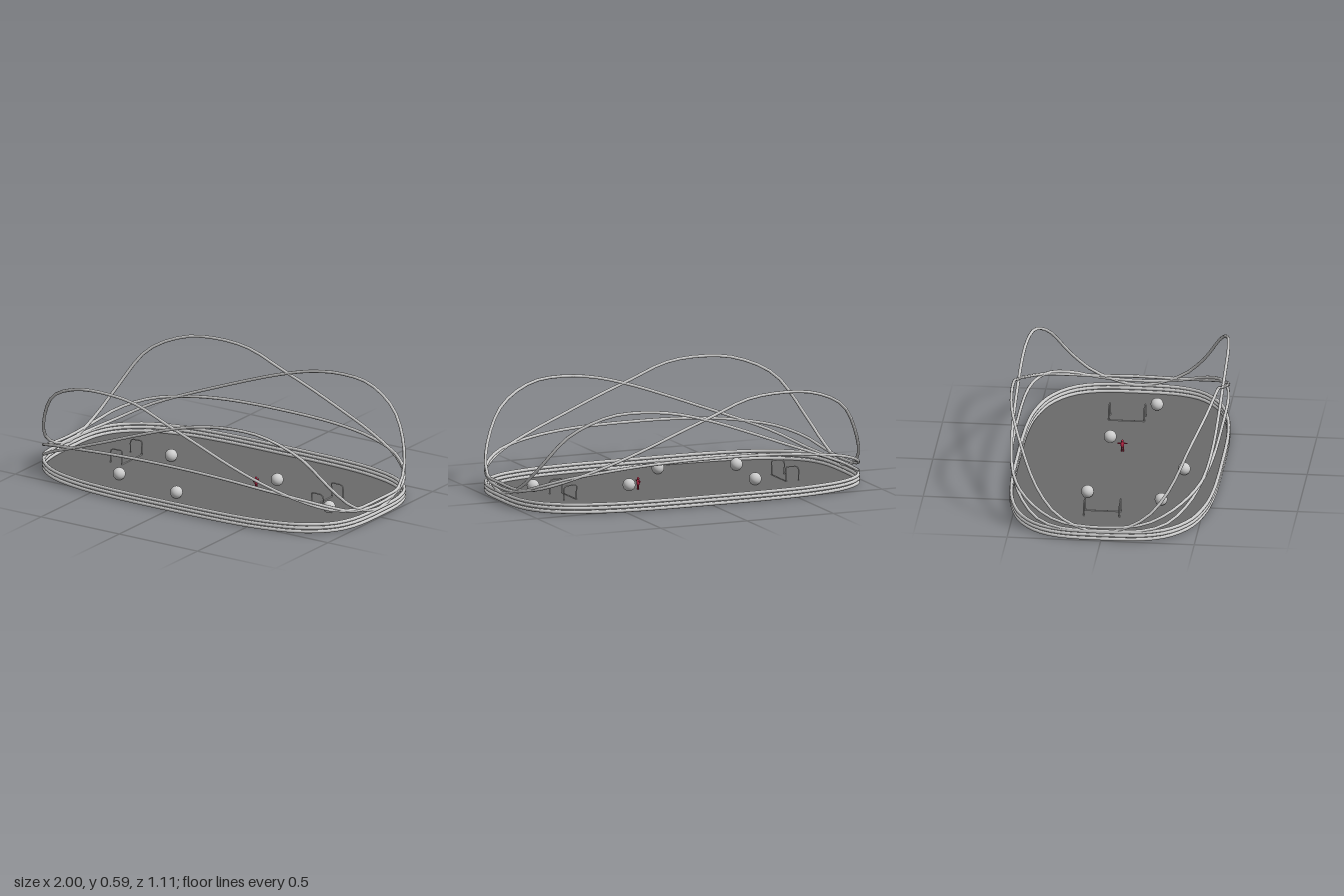
import * as THREE from 'three';

const HALF_X = 0.99, HALF_Z = 0.545, POWER = 3.4;

// Half-depth of the rounded arena outline at x in -1..1
const outlineZ = (x) => HALF_Z * Math.pow(Math.max(0, 1 - Math.pow(Math.abs(x), POWER)), 1 / POWER);

// Stations along one long side; the other side mirrors them
const STATIONS = [-1, -0.985, -0.93, -0.8, -0.6, -0.4, -0.2, 0, 0.2, 0.4, 0.6, 0.8, 0.93, 0.985, 1];

// Closed curve over the outline with a height for each station
function outlineCurve(heights) {
  const front = STATIONS.map((x, i) => new THREE.Vector3(x * HALF_X, heights[i], outlineZ(x)));
  const back = front.slice(1, -1).reverse().map((p) => new THREE.Vector3(p.x, p.y, -p.z));
  return new THREE.CatmullRomCurve3([...front, ...back], true);
}

export function createModel() {
  const model = new THREE.Group();
  const grey = new THREE.MeshStandardMaterial({ color: 0xcccccc });
  const dark = new THREE.MeshStandardMaterial({ color: 0x6b6b6b, side: THREE.DoubleSide });
  const red = new THREE.MeshStandardMaterial({ color: 0xc02848 });

  function add(name, geometry, material, x = 0, y = 0, z = 0, parent = model) {
    const mesh = new THREE.Mesh(geometry, material);
    mesh.name = name;
    mesh.position.set(x, y, z);
    parent.add(mesh);
    return mesh;
  }

  // Floor
  const flat = outlineCurve(STATIONS.map(() => 0));
  const floorShape = new THREE.Shape(flat.getPoints(112).slice(0, -1).map((p) => new THREE.Vector2(p.x, -p.z)));
  add('floor', new THREE.ShapeGeometry(floorShape).rotateX(-Math.PI / 2), dark, 0, 0.005, 0);

  // Stacked border rails
  const border = new THREE.TubeGeometry(flat, 96, 0.0095, 8, true);
  [0.0105, 0.031, 0.051].forEach((y, i) => add('borderRail' + (i + 1), border, grey, 0, y, 0));

  // Rising and falling loop rails
  const loops = {
    leftHighRail: [0.055, 0.06, 0.085, 0.155, 0.235, 0.31, 0.385, 0.455, 0.51, 0.535, 0.52, 0.42, 0.24, 0.12, 0.05],
    rightHighRail: [0.045, 0.125, 0.26, 0.465, 0.56, 0.58, 0.56, 0.485, 0.41, 0.33, 0.255, 0.18, 0.125, 0.102, 0.1],
    lowRail: [0.075, 0.095, 0.14, 0.19, 0.225, 0.245, 0.254, 0.256, 0.254, 0.245, 0.225, 0.19, 0.14, 0.095, 0.075],
  };
  for (const [name, heights] of Object.entries(loops)) {
    add(name, new THREE.TubeGeometry(outlineCurve(heights), 80, 0.0085, 8, true), grey);
  }

  // Balls
  const ball = new THREE.SphereGeometry(0.034, 24, 16);
  [[-0.425, 0.036, -0.13], [0.285, 0.051, -0.082], [0.753, 0.046, 0.12], [-0.49, 0.036, 0.27], [-0.07, 0.036, 0.35]]
    .forEach(([x, y, z], i) => add('ball' + (i + 1), ball, grey, x, y, z));

  // Goals: a hoop at each end joined by a ground bar
  const hoopPath = new THREE.CatmullRomCurve3([
    [0, 0.005], [0, 0.045], [0, 0.08], [0.035, 0.083], [0.062, 0.08], [0.072, 0.065], [0.072, 0.03], [0.072, 0.005],
  ].map(([x, y]) => new THREE.Vector3(x, y, 0)));
  const hoop = new THREE.TubeGeometry(hoopPath, 28, 0.0035, 6);
  for (const side of [1, -1]) {
    const goal = new THREE.Group();
    goal.name = side > 0 ? 'leftGoal' : 'rightGoal';
    for (const z of [-0.123, 0.067]) add('goalHoop', hoop, grey, 0, 0, z, goal);
    add('goalBar', new THREE.BoxGeometry(0.006, 0.007, 0.19), grey, 0, 0.0055, -0.028, goal);
    goal.position.x = side * 0.608;
    goal.rotation.y = side > 0 ? 0 : Math.PI;
    if (side < 0) goal.position.z = -0.056;
    model.add(goal);
  }

  // Small player marker
  const player = new THREE.Group();
  player.name = 'player';
  add('playerBody', new THREE.SphereGeometry(0.01, 10, 8).scale(1, 1.9, 1), red, 0, 0.045, 0, player);
  add('playerHead', new THREE.SphereGeometry(0.007, 10, 8), red, 0, 0.065, 0, player);
  add('playerArms', new THREE.BoxGeometry(0.005, 0.006, 0.052), red, 0, 0.051, 0, player);
  for (const z of [-0.005, 0.005]) add('playerLeg', new THREE.CylinderGeometry(0.0035, 0.0035, 0.03, 6), red, 0, 0.02, z, player);
  player.position.set(0.2, 0, -0.008);
  model.add(player);

  return model;
}
